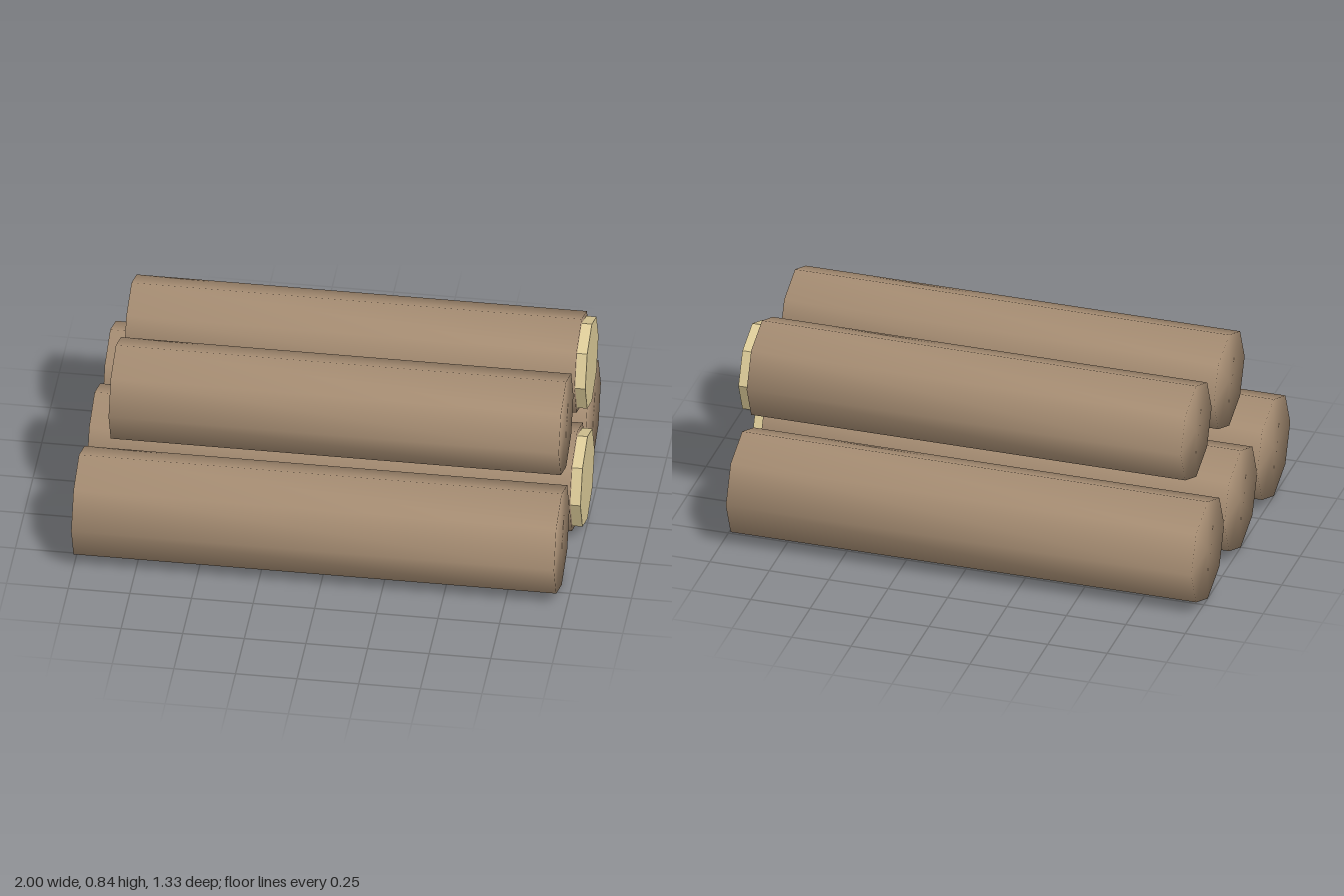
import * as THREE from 'three';
import { mergeVertices } from 'three/addons/utils/BufferGeometryUtils.js';

const bark = new THREE.MeshStandardMaterial({ color: 0xa58c72 });
const cutWood = new THREE.MeshStandardMaterial({ color: 0xdccb98, flatShading: true });

// Eight-sided prism along x, from x0 to x1
function prism(radius, x0, x1) {
  const geometry = new THREE.CylinderGeometry(radius, radius, x1 - x0, 8);
  geometry.rotateZ(-Math.PI / 2);
  geometry.translate((x0 + x1) / 2, 0, 0);
  return geometry;
}

// Bark with normals blended over the rims, so the ends look rounded
function barkGeometry(radius, x0, x1) {
  const geometry = prism(radius, x0, x1);
  geometry.deleteAttribute('normal');
  geometry.deleteAttribute('uv');
  const merged = mergeVertices(geometry, 1e-4);
  merged.computeVertexNormals();
  return merged;
}

function addLog(parent, name, { radius, x0, x1, y, z, cut }) {
  const log = new THREE.Group();
  log.name = name;
  log.position.set(0, y, z);
  const body = new THREE.Mesh(barkGeometry(radius, x0, x1), bark);
  body.name = 'bark';
  log.add(body);
  // Pale sawn face standing slightly proud of the end
  if (cut) {
    const face = new THREE.Mesh(prism(radius * 0.905, x1 - 0.03, x1 + 0.041), cutWood);
    face.name = 'cutEnd';
    log.add(face);
  }
  parent.add(log);
}

export function createModel() {
  const model = new THREE.Group();
  model.name = 'logPile';

  // Bottom row: three logs side by side
  const lower = { radius: 0.222, x0: -1, x1: 0.959, y: 0.222 };
  ['Back', 'Middle', 'Front'].forEach((place, i) => {
    addLog(model, `lowerLog${place}`, { ...lower, z: (i - 1) * 0.445, cut: i === 1 });
  });

  // Top row: two slightly smaller logs resting in the gaps
  const upper = { radius: 0.208, x0: -0.882, x1: 0.945, y: 0.63 };
  ['Back', 'Front'].forEach((place, i) => {
    addLog(model, `upperLog${place}`, { ...upper, z: (i - 0.5) * 0.445, cut: i === 0 });
  });

  return model;
}
